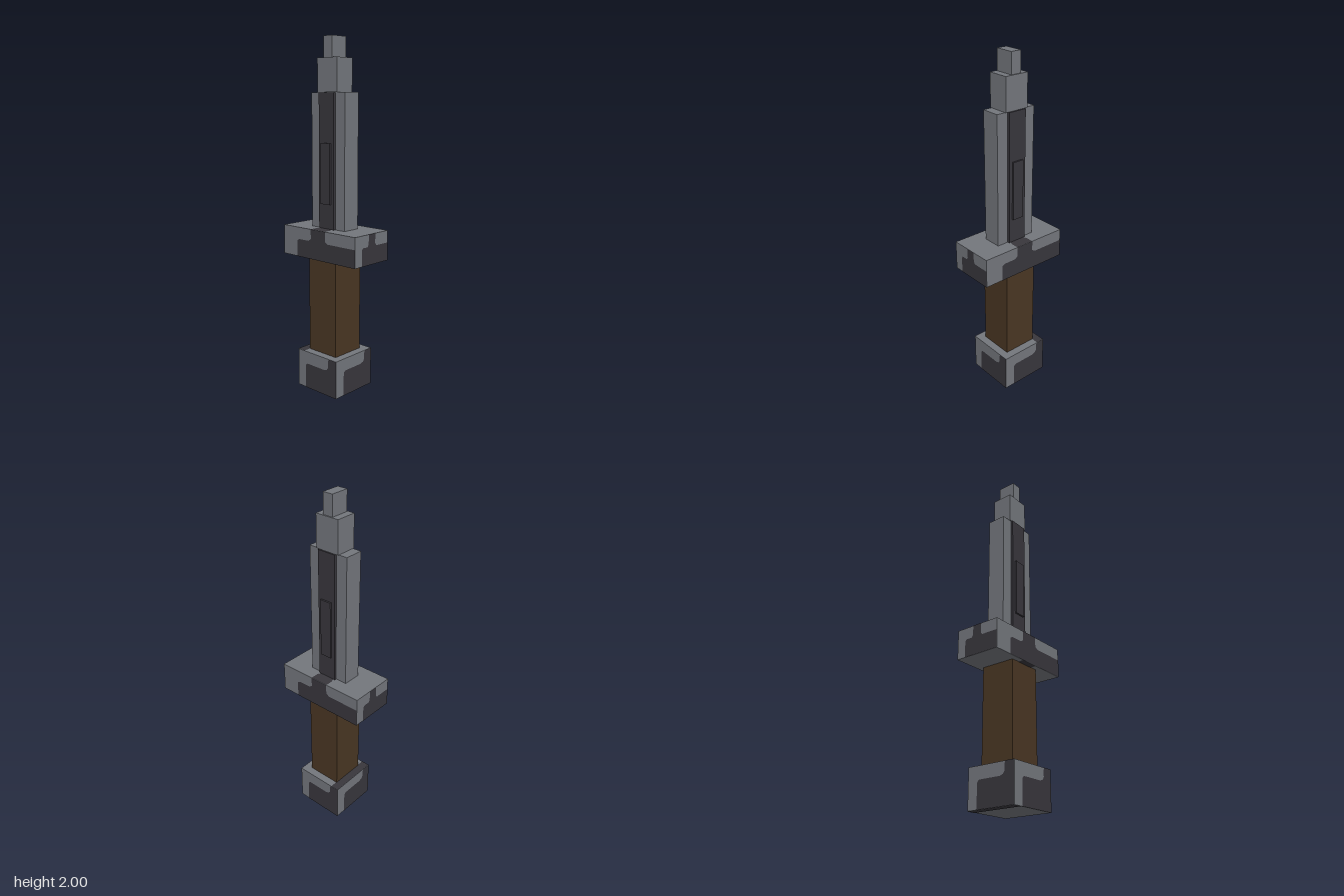
import * as THREE from 'three';

const material = (name, color) => {
  const m = new THREE.MeshStandardMaterial({ color });
  m.name = name;
  return m;
};

export function createModel() {
  const steel = material('steel grey', 0x73767c);
  const dark = material('dark iron', 0x38363c);
  const leather = material('brown grip', 0x493623);
  const model = new THREE.Group();
  model.name = 'dagger';
  const LIFT = 0.0015;

  // Box given by half width, bottom, top and half depth
  function block(name, hx, y0, y1, hz, mat) {
    const mesh = new THREE.Mesh(new THREE.BoxGeometry(hx * 2, y1 - y0, hz * 2), mat);
    mesh.name = name;
    mesh.position.y = (y0 + y1) / 2;
    model.add(mesh);
  }

  // Flat painted patch facing +z
  function patch(name, points) {
    const shape = new THREE.Shape(points.map(([x, y]) => new THREE.Vector2(x, y)));
    const mesh = new THREE.Mesh(new THREE.ShapeGeometry(shape), dark);
    mesh.name = name;
    return mesh;
  }

  // The same patch on all four sides; x is a fraction of the half width
  function sidePatches(name, points, hx, hz) {
    for (let k = 0; k < 4; k++) {
      const [w, d] = k % 2 ? [hz, hx] : [hx, hz];
      const mesh = patch(name, points.map(([x, y]) => [x * w, y]));
      mesh.position.z = d + LIFT;
      const side = new THREE.Group();
      side.name = name + 'Side';
      side.rotation.y = (k * Math.PI) / 2;
      side.add(mesh);
      model.add(side);
    }
  }

  // The same patch on the top and underside of a block
  function capPatches(name, points, y0, y1) {
    for (const [y, s] of [[y1 + LIFT, -1], [y0 - LIFT, 1]]) {
      const mesh = patch(name, points);
      mesh.rotation.x = (s * Math.PI) / 2;
      mesh.position.y = y;
      model.add(mesh);
    }
  }

  // Pommel
  block('pommel', 0.15, 0, 0.22, 0.15, steel);
  sidePatches('pommelPatch', [
    [-0.6, 0], [1, 0], [1, 0.22], [0.64, 0.22], [0.6, 0.207], [0.6, 0.17],
    [0.53, 0.155], [0.4, 0.148], [-0.5, 0.148], [-0.58, 0.138],
  ], 0.15, 0.15);
  capPatches('pommelEdge', [[-0.15, -0.15], [-0.1, -0.15], [-0.1, 0.15], [-0.15, 0.15]], 0, 0.22);

  // Grip
  block('grip', 0.103, 0.22, 0.775, 0.103, leather);

  // Crossguard
  block('guard', 0.275, 0.775, 0.945, 0.137, steel);
  sidePatches('guardPatch', [
    [-0.6, 0.775], [1, 0.775], [1, 0.877], [0.27, 0.877], [0.2, 0.89], [0.2, 0.945],
    [-0.2, 0.945], [-0.2, 0.89], [-0.27, 0.877], [-0.54, 0.877], [-0.6, 0.866],
  ], 0.275, 0.137);
  capPatches('guardStripe', [
    [-0.055, -0.137], [0.055, -0.137], [0.055, -0.083], [0.048, -0.083],
    [0.048, 0.083], [0.055, 0.083], [0.055, 0.137], [-0.055, 0.137],
    [-0.055, 0.083], [-0.048, 0.083], [-0.048, -0.083], [-0.055, -0.083],
  ], 0.775, 0.945);

  // Blade, stepping down to the tip
  block('blade', 0.125, 0.945, 1.7, 0.055, steel);
  block('bladeRib', 0.056, 0.945, 1.699, 0.069, dark);
  block('ribInlay', 0.035, 1.085, 1.425, 0.079, dark);
  block('upperBlade', 0.073, 1.7, 1.885, 0.062, steel);
  block('tip', 0.031, 1.885, 2, 0.055, steel);

  return model;
}
